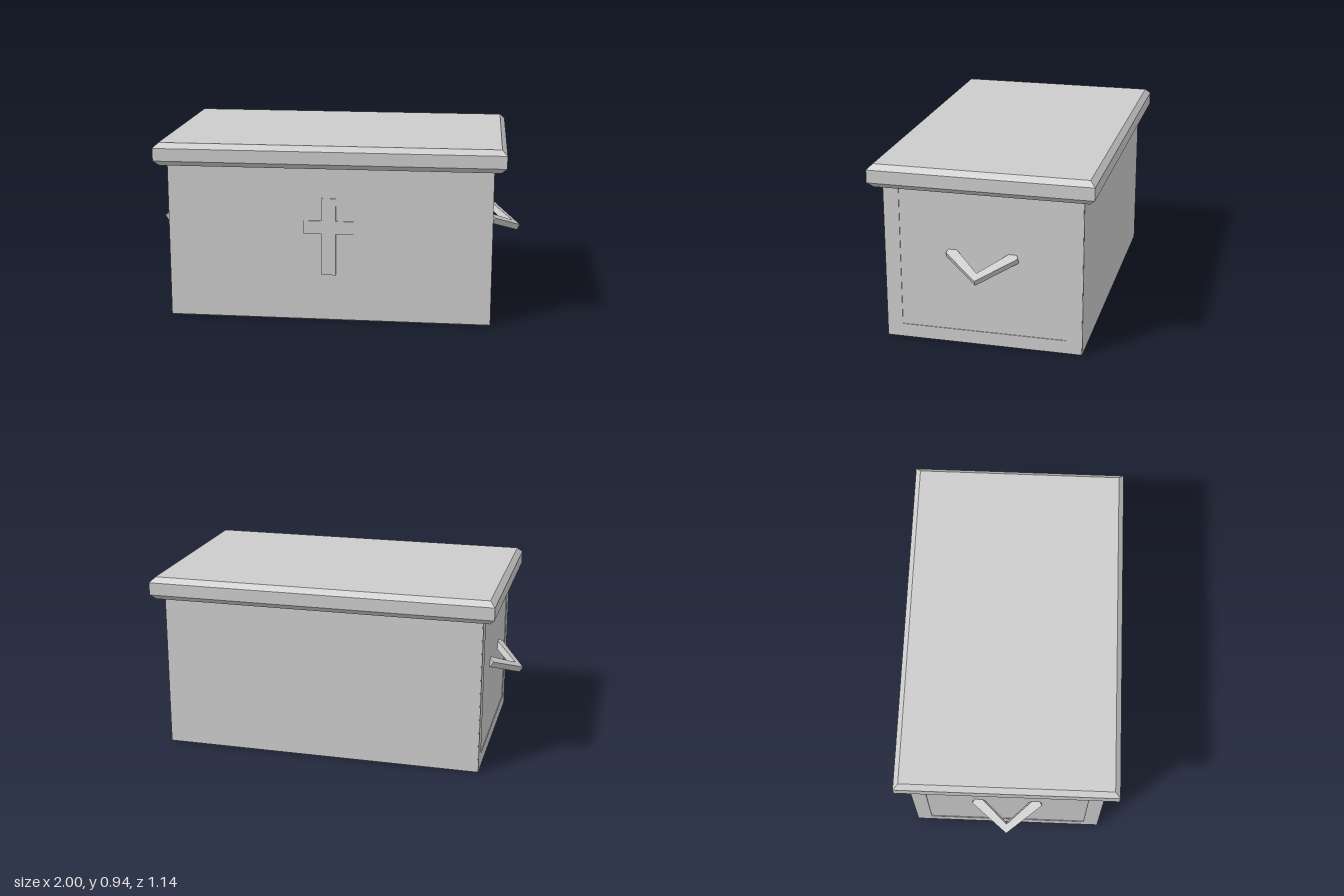
import * as THREE from 'three';

const grey = new THREE.MeshStandardMaterial({ color: 0xcccccc, flatShading: true });
grey.name = 'plain grey';

function add(parent, name, geometry, x = 0, y = 0, z = 0) {
  const mesh = new THREE.Mesh(geometry, grey);
  mesh.name = name;
  mesh.position.set(x, y, z);
  parent.add(mesh);
  return mesh;
}

// Closed outline from x,y pairs
function outline(points) {
  return new THREE.Shape(points.map(([x, y]) => new THREE.Vector2(x, y)));
}

export function createModel() {
  const model = new THREE.Group();
  model.name = 'chest';

  // Body
  add(model, 'body', new THREE.BoxGeometry(1.68, 0.82, 1.02), 0, 0.415, 0);

  // Lid: slab with every edge chamfered
  const c = 0.027, w = 0.905 - c, d = 0.57 - c;
  const lid = new THREE.ExtrudeGeometry(outline([[-w, -d], [w, -d], [w, d], [-w, d]]), {
    depth: 0.12 - 2 * c, bevelEnabled: true, bevelSegments: 1, bevelSize: c, bevelThickness: c,
  });
  lid.rotateX(-Math.PI / 2);
  add(model, 'lid', lid, 0, 0.82 + c, 0);

  // Low-relief cross on the front
  const cross = outline([
    [-0.037, 0.25], [0.037, 0.25], [0.037, 0.47], [0.13, 0.47], [0.13, 0.54], [0.037, 0.54],
    [0.037, 0.66], [-0.037, 0.66], [-0.037, 0.54], [-0.13, 0.54], [-0.13, 0.47], [-0.037, 0.47],
  ]);
  add(model, 'frontCross', new THREE.ExtrudeGeometry(cross, { depth: 0.01, bevelEnabled: false }), 0, 0, 0.507);

  // Handle: a V-shaped bar, drawn flat with its tip at the origin
  const vee = outline([
    [0, 0], [-0.16, 0.185], [-0.21, 0.16], [-0.05, 0], [-0.21, -0.16], [-0.16, -0.185],
  ]);
  const handle = new THREE.ExtrudeGeometry(vee, { depth: 0.034, bevelEnabled: false });
  handle.rotateX(-Math.PI / 2);
  handle.translate(0, -0.034, 0);
  handle.rotateZ(-Math.PI / 6);

  // Each end: handle, thin corner stiles and bottom rail
  for (const [side, turn] of [['left', 0], ['right', Math.PI]]) {
    const end = new THREE.Group();
    end.name = side + 'End';
    end.rotation.y = turn;
    add(end, 'handle', handle, 0.998, 0.418, 0);
    for (const s of [-1, 1]) {
      add(end, 'cornerStile', new THREE.BoxGeometry(0.008, 0.815, 0.08), 0.84, 0.4125, s * 0.468);
    }
    add(end, 'bottomRail', new THREE.BoxGeometry(0.008, 0.07, 0.87), 0.84, 0.04, 0);
    model.add(end);
  }

  // Base board
  add(model, 'base', new THREE.BoxGeometry(1.66, 0.01, 1.0), 0, 0.005, 0);
  return model;
}
